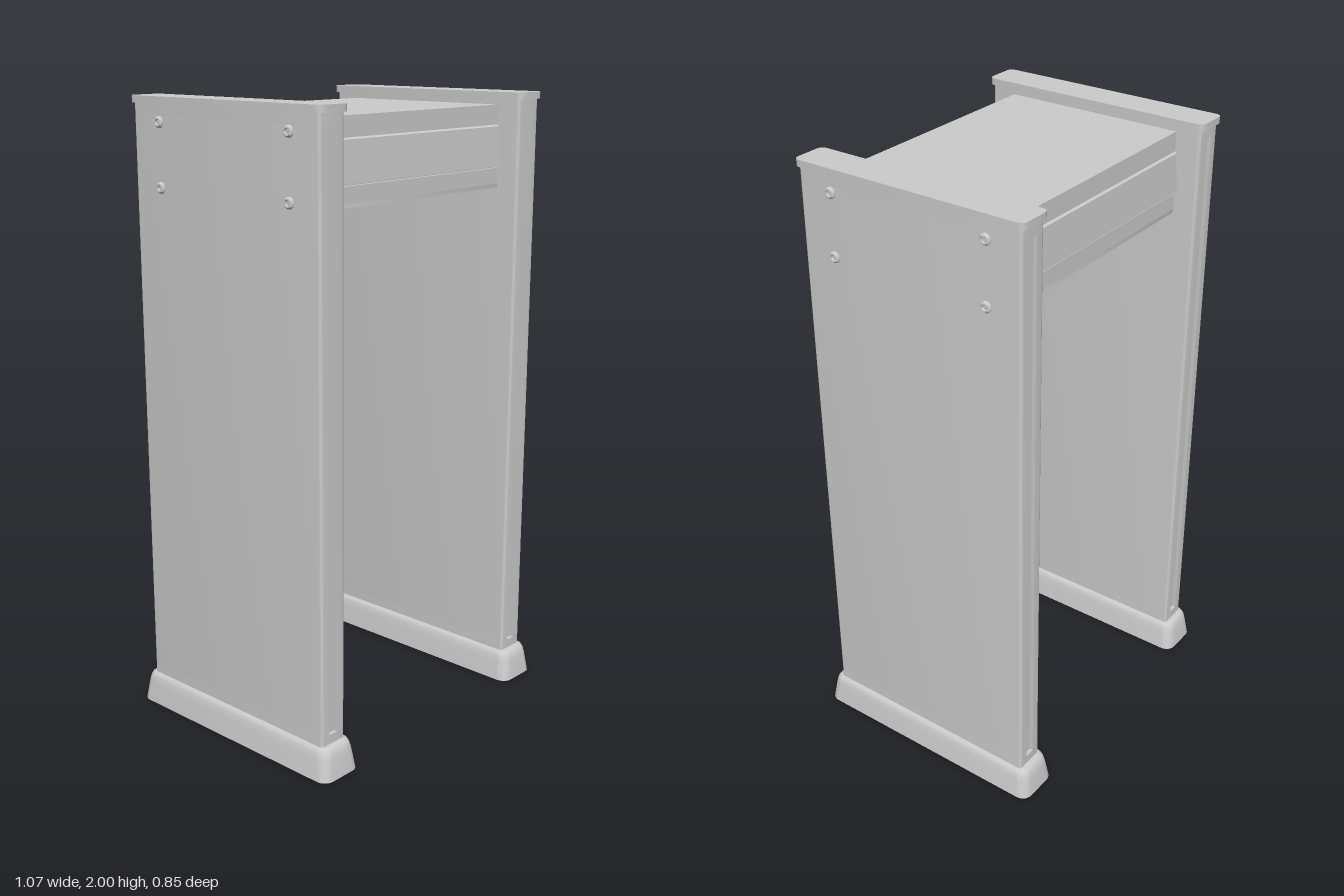
import * as THREE from 'three';
import { toCreasedNormals } from 'three/addons/utils/BufferGeometryUtils.js';

const mat = new THREE.MeshStandardMaterial({ color: 0xcccccc });
const shellMat = new THREE.MeshStandardMaterial({ color: 0xcccccc, side: THREE.DoubleSide });
const PANEL_X = 0.456;

function add(parent, name, geometry, material = mat) {
  const mesh = new THREE.Mesh(geometry, material);
  mesh.name = name;
  parent.add(mesh);
  return mesh;
}

// Plan outline (x, z) with rounded corners and optional notches in both ends
function planShape(hw, hd, r, notchW = 0, notchD = 0) {
  const s = new THREE.Shape();
  s.moveTo(hw, -hd + r);
  s.lineTo(hw, hd - r);
  s.quadraticCurveTo(hw, hd, hw - r, hd);
  if (notchW) {
    s.lineTo(notchW, hd); s.lineTo(notchW, hd - notchD);
    s.lineTo(-notchW, hd - notchD); s.lineTo(-notchW, hd);
  }
  s.lineTo(-hw + r, hd);
  s.quadraticCurveTo(-hw, hd, -hw, hd - r);
  s.lineTo(-hw, -hd + r);
  s.quadraticCurveTo(-hw, -hd, -hw + r, -hd);
  if (notchW) {
    s.lineTo(-notchW, -hd); s.lineTo(-notchW, -hd + notchD);
    s.lineTo(notchW, -hd + notchD); s.lineTo(notchW, -hd);
  }
  s.lineTo(hw - r, -hd);
  s.quadraticCurveTo(hw, -hd, hw, -hd + r);
  return s;
}

// Extrude a plan outline upward from y0 to y1
function riser(shape, y0, y1) {
  const g = new THREE.ExtrudeGeometry(shape, { depth: y1 - y0, bevelEnabled: false, curveSegments: 4 });
  g.rotateX(-Math.PI / 2);
  g.translate(0, y0, 0);
  return toCreasedNormals(g, 0.6);
}

// Hollow foot cover lofted through rounded rectangles [y, halfWidth, halfDepth, radius]
function footGeometry() {
  const sections = [
    [0, 0.078, 0.425, 0.035], [0.065, 0.069, 0.415, 0.033], [0.085, 0.065, 0.41, 0.031],
    [0.096, 0.06, 0.403, 0.027], [0.1, 0.053, 0.396, 0.022], [0.1, 0.045, 0.38, 0.012],
  ];
  const pos = [], index = [], arc = 6, n = 4 * (arc + 1);
  for (const [y, hw, hd, r] of sections) {
    for (let c = 0; c < 4; c++) {
      const sx = c === 0 || c === 3 ? 1 : -1, sz = c < 2 ? 1 : -1;
      for (let i = 0; i <= arc; i++) {
        const a = (c + i / arc) * Math.PI / 2;
        pos.push(sx * (hw - r) + r * Math.cos(a), y, sz * (hd - r) + r * Math.sin(a));
      }
    }
  }
  for (let j = 0; j < sections.length - 1; j++) {
    for (let i = 0; i < n; i++) {
      const a = j * n + i, b = j * n + (i + 1) % n;
      index.push(a, a + n, b, b, a + n, b + n);
    }
  }
  const g = new THREE.BufferGeometry();
  g.setAttribute('position', new THREE.Float32BufferAttribute(pos, 3));
  g.setIndex(index);
  return toCreasedNormals(g, 0.7);
}

function buildSide(side) {
  const group = new THREE.Group();
  group.name = side > 0 ? 'leftPillar' : 'rightPillar';
  group.position.x = side * PANEL_X;

  // Tall panel, with a recessed channel along its front and back edges
  const solid = planShape(0.05, 0.385, 0.01);
  add(group, 'panelBottom', riser(solid, 0.09, 0.13));
  add(group, 'panelMiddle', riser(planShape(0.05, 0.385, 0.01, 0.0175, 0.012), 0.13, 1.945));
  add(group, 'panelTop', riser(solid, 1.945, 1.98));

  add(group, 'topCap', riser(planShape(0.058, 0.396, 0.022), 1.978, 2));
  add(group, 'footCover', footGeometry(), shellMat);

  // Bolts on the outer face: domed washer with a sunken centre
  const profile = [[0, 0.003], [0.008, 0.003], [0.009, 0.009], [0.013, 0.009], [0.017, 0.005], [0.018, -0.002]];
  const bolt = toCreasedNormals(new THREE.LatheGeometry(
    profile.map(([x, y]) => new THREE.Vector2(x, y)).reverse(), 20), 0.5);
  for (const z of [-0.27, 0.27]) {
    for (const y of [1.73, 1.925]) {
      const mesh = add(group, 'bolt', bolt, shellMat);
      mesh.position.set(side * 0.05, y, z);
      mesh.rotation.z = -side * Math.PI / 2;
    }
  }
  return group;
}

function buildHeader() {
  const group = new THREE.Group();
  group.name = 'header';
  const width = 0.812;

  // Cross-section (z, y): upper band, sloping fascia, shadow groove, lower band
  const half = [[0.307, 1.712], [0.307, 1.762], [0.296, 1.762], [0.296, 1.77], [0.315, 1.77],
    [0.308, 1.893], [0.302, 1.898], [0.302, 1.96]];
  const outline = [...half, ...half.map(([z, y]) => [-z, y]).reverse()];
  const shape = new THREE.Shape(outline.map(([z, y]) => new THREE.Vector2(z, y)));
  const body = new THREE.ExtrudeGeometry(shape, { depth: width, bevelEnabled: false });
  body.translate(0, 0, -width / 2);
  body.rotateY(-Math.PI / 2);
  add(group, 'headerBody', body);

  // Underside plate with two long recesses
  const plate = planShape(width / 2, 0.307, 0.001);
  for (const s of [-1, 1]) {
    const x = s * 0.222, hole = new THREE.Path();
    hole.moveTo(x - 0.045, -0.235);
    hole.lineTo(x - 0.045, 0.235);
    hole.lineTo(x + 0.045, 0.235);
    hole.lineTo(x + 0.045, -0.235);
    hole.closePath();
    plate.holes.push(hole);
  }
  add(group, 'headerUnderside', riser(plate, 1.7, 1.712));

  // Thin display window lying on the front fascia
  const display = add(group, 'displayWindow', new THREE.BoxGeometry(0.22, 0.05, 0.003));
  display.position.set(0, 1.826, 0.3112);
  display.rotation.x = -Math.atan2(0.007, 0.123);
  return group;
}

export function createModel() {
  const model = new THREE.Group();
  model.name = 'walkThroughDetector';
  for (const side of [-1, 1]) model.add(buildSide(side));
  model.add(buildHeader());
  return model;
}
